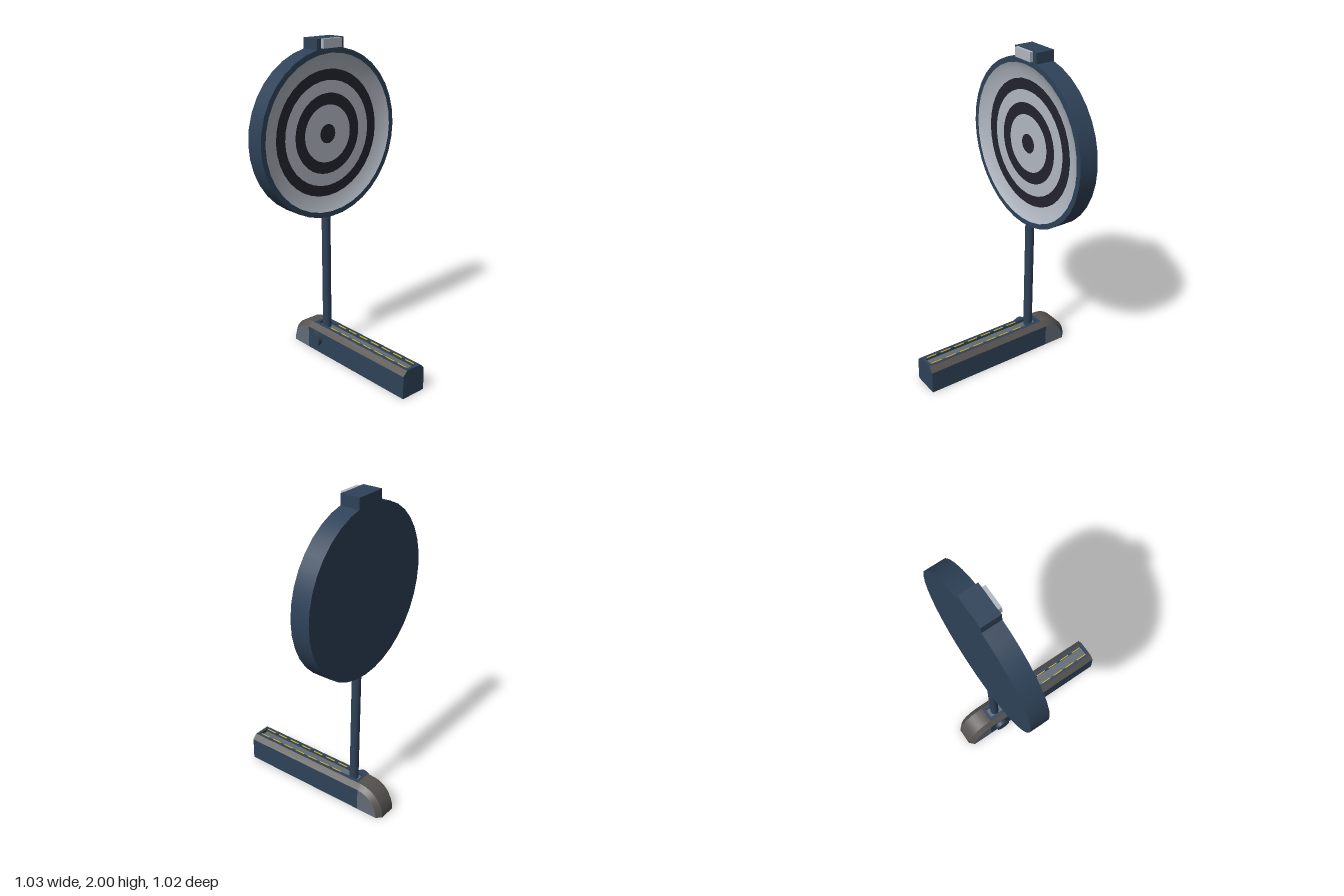
import * as THREE from 'three';

const mat = (name, color) => new THREE.MeshStandardMaterial({ name, color, side: THREE.DoubleSide });

export function createModel() {
  const root = new THREE.Group();
  root.name = 'targetStand';
  const navy = mat('navy', 0x2f4259);
  const slate = mat('slate', 0x626b76);
  const gray = mat('warmGray', 0x55524f);
  const light = mat('lightGray', 0xb2b8c2);
  const dark = mat('darkRing', 0x23232f);
  const yellow = mat('yellow', 0xd9b310);

  const add = (parent, name, geo, m, x = 0, y = 0, z = 0) => {
    const mesh = new THREE.Mesh(geo, m);
    mesh.name = name;
    mesh.position.set(x, y, z);
    parent.add(mesh);
    return mesh;
  };

  // Surface between two edge curves with equal point counts
  const ribbon = (a, b) => {
    const pos = [], idx = [];
    a.forEach((p, i) => {
      pos.push(...p, ...b[i]);
      if (i) idx.push(2 * i - 2, 2 * i - 1, 2 * i, 2 * i - 1, 2 * i + 1, 2 * i);
    });
    const g = new THREE.BufferGeometry();
    g.setAttribute('position', new THREE.Float32BufferAttribute(pos, 3));
    g.setIndex(idx);
    // face outward from the middle of the base
    g.computeVertexNormals();
    const n = g.attributes.normal, k = 2 * Math.floor(a.length / 2);
    const out = [pos[3 * k] < -0.35 ? -1 : 0, pos[3 * k + 1] > 0.1 ? 1 : 0, Math.sign(pos[3 * k + 2] + pos[3 * k + 5])];
    if (n.getX(k) * out[0] + n.getY(k) * out[1] + n.getZ(k) * out[2] < 0) {
      g.setIndex(idx.reverse());
      g.computeVertexNormals();
    }
    return g;
  };
  // Flat panel running along x between two (y, z) edges
  const panel = (x0, x1, [y0, z0], [y1, z1]) =>
    ribbon([[x0, y0, z0], [x1, y0, z0]], [[x0, y1, z1], [x1, y1, z1]]);

  // Base body with chamfered upper edges
  const base = new THREE.Group();
  base.name = 'base';
  root.add(base);
  const X0 = -0.35, X1 = 0.515, W = 0.085, T = 0.055, H = 0.175, S = 0.145, C = 0.032, F = 0.155;
  for (const s of [1, -1]) {
    add(base, 'baseSide', panel(X0, X1, [0, s * W], [S, s * W]), navy);
    add(base, 'baseChamfer', panel(X0, X1, [S, s * W], [H, s * T]), gray);
    add(base, 'slotFrame', panel(-0.33, X1, [H, s * T], [H, s * C]), navy);
    add(base, 'slotWall', panel(-0.31, 0.495, [H, s * C], [F, s * C]), navy);
    // yellow ticks along the slot
    for (let i = 0; i < 7; i++)
      add(base, 'slotMark', new THREE.BoxGeometry(0.07, 0.004, 0.006), yellow, -0.15 + i * 0.1, H, s * C);
  }
  add(base, 'baseTopFront', panel(X0, -0.33, [H, -T], [H, T]), gray);
  add(base, 'slotFloor', panel(-0.31, 0.495, [F, -C], [F, C]), slate);
  add(base, 'slotEnd', new THREE.BoxGeometry(0.02, H - F, 2 * C), navy, 0.505, (H + F) / 2);
  add(base, 'slotStart', new THREE.BoxGeometry(0.02, H - F, 2 * C), navy, -0.32, (H + F) / 2);
  const bottom = new THREE.Shape([[X1, W], [-0.49, W], [-0.52, T], [-0.52, -T], [-0.49, -W], [X1, -W]]
    .map(([x, z]) => new THREE.Vector2(x, z)));
  add(base, 'baseBottom', new THREE.ShapeGeometry(bottom).rotateX(Math.PI / 2), navy);
  const end = new THREE.Shape([[-W, 0], [W, 0], [W, S], [T, H], [-T, H], [-W, S]]
    .map(([z, y]) => new THREE.Vector2(z, y)));
  add(base, 'baseEnd', new THREE.ShapeGeometry(end).rotateY(Math.PI / 2), navy, X1);

  // Rounded nose: outer arc across the top, inner arc at the sides
  const arc = (rx, ry, z) => Array.from({ length: 13 }, (_, i) => {
    const t = i / 12 * Math.PI / 2;
    return [X0 - rx * Math.sin(t), ry * Math.cos(t), z];
  });
  add(base, 'noseTop', ribbon(arc(0.17, H, -T), arc(0.17, H, T)), gray);
  for (const s of [1, -1]) {
    add(base, 'noseChamfer', ribbon(arc(0.17, H, s * T), arc(0.14, S, s * W)), gray);
    add(base, 'noseSide', ribbon(arc(0.14, S, s * W), arc(0.14, 0, s * W)), slate);
  }

  // Side knob and pole
  add(base, 'knob', new THREE.CylinderGeometry(0.048, 0.048, 0.03, 20).rotateX(Math.PI / 2), navy, -0.265, 0.093, 0.096);
  add(root, 'pole', new THREE.CylinderGeometry(0.028, 0.028, 0.8, 12), navy, -0.262, 0.54);

  // Round target, built facing +z and turned to +x
  const target = new THREE.Group();
  target.name = 'target';
  target.position.set(-0.325, 1.435, 0);
  target.rotation.y = Math.PI / 2;
  root.add(target);
  const R = 0.512, D = 0.12, IN = 0.48, FACE = 0.385, N = 36;
  const lathe = pts => new THREE.LatheGeometry(pts.map(p => new THREE.Vector2(...p)), N).rotateX(Math.PI / 2);
  add(target, 'targetSide', lathe([[R, 0], [R, D]]), navy);
  add(target, 'targetRim', lathe([[R, D], [IN, D]]), navy);
  add(target, 'targetDish', lathe([[IN, D], [0.44, 0.1], [FACE, 0.09]]), light);
  add(target, 'targetBack', new THREE.CircleGeometry(R, N).rotateY(Math.PI), navy);
  const radii = [FACE, 0.32, 0.245, 0.175, 0.058, 0];
  for (let i = 0; i < 5; i++)
    add(target, 'targetRing', new THREE.RingGeometry(radii[i + 1], radii[i], N), i % 2 ? light : dark, 0, 0, 0.09);

  // Sensor block on top with its lamp
  add(root, 'topBlock', new THREE.BoxGeometry(0.12, 0.08, 0.2), navy, -0.265, 1.96);
  add(root, 'topLamp', new THREE.BoxGeometry(0.022, 0.055, 0.14), light, -0.195, 1.9725);
  return root;
}
